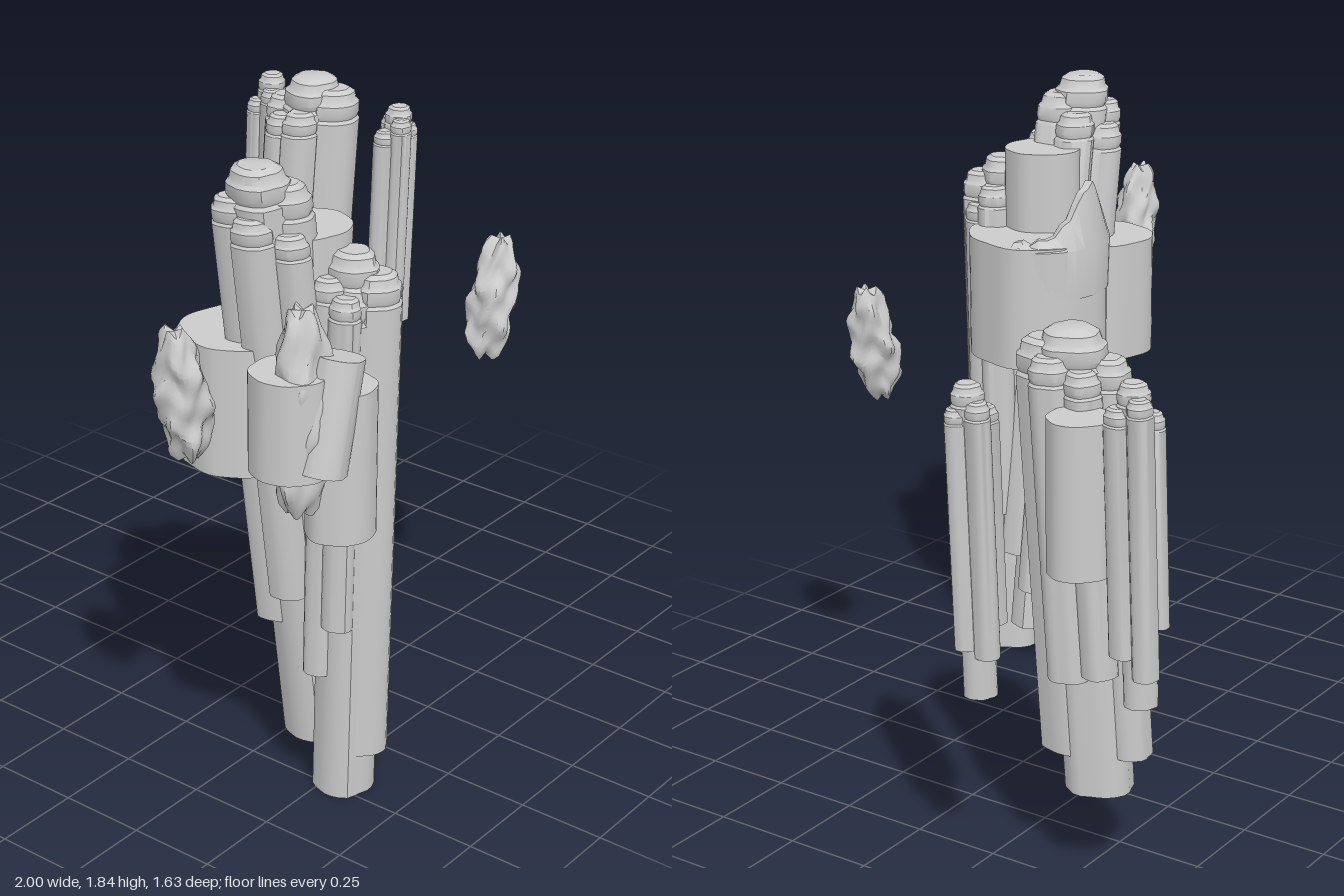
import * as THREE from 'three';
import { toCreasedNormals } from 'three/addons/utils/BufferGeometryUtils.js';

const material = new THREE.MeshStandardMaterial({ color: 0xcccccc, side: THREE.DoubleSide });
const V = (x, y, z) => new THREE.Vector3(x, y, z);

// Skins a list of equal-length corner loops and closes both ends.
function loft(sections, crease = 0.6) {
  const n = sections[0].length, pos = [], index = [];
  sections.forEach(loop => loop.forEach(p => pos.push(p.x, p.y, p.z)));
  for (let i = 0; i < sections.length - 1; i++) {
    for (let j = 0; j < n; j++) {
      const a = i * n + j, b = i * n + (j + 1) % n;
      index.push(a, b, b + n, a, b + n, a + n);
    }
  }
  const last = sections.length - 1;
  for (const [row, top] of [[0, false], [last, true]]) {
    const c = V(0, 0, 0);
    sections[row].forEach(p => c.addScaledVector(p, 1 / n));
    const k = pos.length / 3;
    pos.push(c.x, c.y, c.z);
    for (let j = 0; j < n; j++) {
      const a = row * n + j, b = row * n + (j + 1) % n;
      index.push(k, top ? a : b, top ? b : a);
    }
  }
  const g = new THREE.BufferGeometry();
  g.setAttribute('position', new THREE.Float32BufferAttribute(pos, 3));
  g.setIndex(index);
  return toCreasedNormals(g, crease);
}

// Horizontal loop with an uneven, softly lobed outline.
function ring(x, y, z, r, seed, lobe = 0.04, sides = 24) {
  return Array.from({ length: sides }, (_, i) => {
    const a = (i / sides) * Math.PI * 2;
    const k = r * (1 + lobe * (Math.sin(3 * a + seed) + 0.7 * Math.sin(5 * a + seed * 2.3) + 0.5 * Math.sin(8 * a + seed * 4.1)));
    return V(x + k * Math.cos(a), y, z - k * Math.sin(a));
  });
}

function add(group, name, geometry) {
  const mesh = new THREE.Mesh(geometry, material);
  mesh.name = name;
  group.add(mesh);
  return mesh;
}

// Column end: [distance below the top, share of the radius]
const CAP = [[0.1, 1], [0.09, 0.9], [0.075, 0.97], [0.045, 0.95], [0.035, 0.83], [0.012, 0.76], [0, 0.55]];

// Bundle of columns leaning along one axis; each column is [dx, dz, radius, topY, bottomY].
function cluster(name, base, top, columns) {
  const group = new THREE.Group();
  group.name = name;
  columns.forEach(([dx, dz, r, y1, y0], i) => {
    const at = (y, k) => {
      const t = (y - base.y) / (top.y - base.y);
      return ring(base.x + (top.x - base.x) * t + dx, y, base.z + (top.z - base.z) * t + dz, r * k, i * 1.9 + r * 40);
    };
    const s = Math.min(1, r / 0.075);
    add(group, 'column', loft([at(y0, 1), ...CAP.map(([d, k]) => at(y1 - d * s, k))]));
  });
  return group;
}

// Flat-topped drum with a scalloped rim.
const drum = (x, z, r, y0, y1, seed) =>
  loft([ring(x, y0, z, r, seed, 0.022, 48), ring(x, y1, z, r, seed, 0.022, 48)], 0.45);

// Knobbly boulder tapering to both ends, shifting by lean from bottom to top.
function boulder(x, z, r, y0, y1, lean, seed) {
  const rows = 22, sides = 28, loops = [];
  for (let i = 0; i <= rows; i++) {
    const t = i / rows, y = y0 + (y1 - y0) * t;
    const body = r * (0.4 + 0.6 * Math.sin(Math.PI * Math.pow(t, 0.85)) ** 0.7);
    loops.push(Array.from({ length: sides }, (_, j) => {
      const a = (j / sides) * Math.PI * 2;
      const bump = 0.13 * Math.sin(3 * a + t * 9 + seed) + 0.1 * Math.sin(5 * a - t * 16 + seed * 2) + 0.08 * Math.sin(24 * t + 2 * a + seed);
      const k = body * (1 + bump);
      return V(x + lean * (t - 0.5) + k * Math.cos(a), y + 0.012 * Math.sin(4 * a + seed), z - k * Math.sin(a));
    }));
  }
  return loft(loops, 0.7);
}

export function createModel() {
  const model = new THREE.Group();
  model.name = 'floatingRockPillars';

  // Leaning tall pillar and the upright one before it
  model.add(cluster('tallPillar', V(-0.42, 0.11, 0.41), V(-0.64, 1.84, 0.385), [
    [0, 0, 0.085, 1.84, 0.11], [0.045, 0.045, 0.07, 1.79, 0.35], [-0.065, 0.02, 0.055, 1.72, 0.6],
    [0.07, -0.03, 0.06, 1.74, 0.25], [-0.01, -0.08, 0.06, 1.7, 0.64], [0, 0.085, 0.05, 1.67, 0.8],
    [-0.05, -0.05, 0.055, 1.76, 0.5],
  ]));
  model.add(cluster('frontPillar', V(-0.46, 0, 0.54), V(-0.46, 1.6, 0.57), [
    [0, 0, 0.085, 1.52, 0], [0.02, 0.05, 0.065, 1.55, 0.13], [0, -0.01, 0.07, 1.6, 0.28],
    [-0.07, 0.02, 0.045, 1.5, 0.54], [0.065, -0.02, 0.05, 1.52, 0.47], [-0.06, -0.04, 0.05, 1.54, 0.38],
    [0.06, 0.04, 0.045, 1.46, 0.8],
  ]));

  // Pillars of the far group
  model.add(cluster('farPillar', V(0.66, 0.26, -0.54), V(0.72, 1.54, -0.49), [
    [0, 0, 0.092, 1.54, 0.26], [0.02, 0.065, 0.08, 1.51, 0.37], [-0.085, 0.02, 0.055, 1.45, 0.58],
    [-0.085, -0.05, 0.05, 1.43, 0.65], [0.08, 0.02, 0.055, 1.48, 0.6], [-0.02, -0.09, 0.06, 1.47, 0.37],
    [0.06, -0.06, 0.05, 1.45, 0.62],
  ]));
  model.add(cluster('farFrontPillar', V(0.9, 0.56, -0.325), V(0.935, 1.42, -0.32), [
    [0, 0, 0.044, 1.42, 0.56], [-0.03, 0.03, 0.034, 1.39, 0.82], [0.01, -0.035, 0.036, 1.38, 0.68],
    [-0.05, -0.015, 0.034, 1.35, 0.75], [0.03, 0.015, 0.032, 1.36, 0.7],
  ]));
  model.add(cluster('farBackPillar', V(0.81, 0.61, -0.76), V(0.825, 1.47, -0.74), [
    [0, 0, 0.044, 1.47, 0.61], [-0.035, 0.025, 0.035, 1.43, 0.68], [0.035, 0.025, 0.035, 1.41, 0.75],
    [0.03, -0.035, 0.034, 1.44, 0.7], [-0.035, -0.03, 0.034, 1.39, 0.82],
  ]));

  // Flat drums around the pillars: [name, x, z, radius, bottomY, topY]
  [
    ['wideDrum', -0.39, 0.38, 0.21, 1.03, 1.4],
    ['backDrum', -0.6, 0.295, 0.155, 1.0, 1.36],
    ['upperDrum', -0.475, 0.42, 0.115, 1.1, 1.64],
    ['sideDrum', -0.71, 0.71, 0.09, 0.95, 1.36],
    ['outerDrum', -0.83, 0.645, 0.1, 1.15, 1.42],
    ['farDrum', 0.85, -0.6, 0.083, 0.95, 1.36],
  ].forEach(([name, ...p], i) => add(model, name, drum(...p, i * 1.7)));

  // Small tilted drum
  const tilted = add(model, 'tiltedDrum', drum(0, 0, 0.066, -0.15, 0.15, 2));
  tilted.position.set(-0.785, 1.31, 0.735);
  tilted.rotation.z = -0.24;

  // Broken rim rising from the wide drum, highest at the back
  const rim = [];
  for (let i = 0; i <= 14; i++) {
    const deg = 10 + i * 8, a = THREE.MathUtils.degToRad(deg);
    const top = 1.41 + 0.16 * Math.exp(-(((deg - 95) / 32) ** 2)) + 0.008 * Math.sin(i * 2.4);
    const p = (r, y) => V(-0.39 + r * Math.cos(a), y, 0.38 - r * Math.sin(a));
    rim.push([p(0.21, 1.24), p(0.1, 1.24), p(0.1, 1.39), p(0.155, top), p(0.18, top), p(0.215, 1.39)]);
  }
  add(model, 'brokenRim', loft(rim, 0.5));

  // Loose boulders
  add(model, 'outerBoulder', boulder(-0.92, 0.375, 0.066, 1.13, 1.49, -0.05, 1));
  add(model, 'drumBoulder', boulder(-0.82, 0.67, 0.078, 1.04, 1.58, 0.01, 3));
  add(model, 'loneBoulder', boulder(0.28, 0.49, 0.064, 1.04, 1.37, 0.06, 5));
  return model;
}
